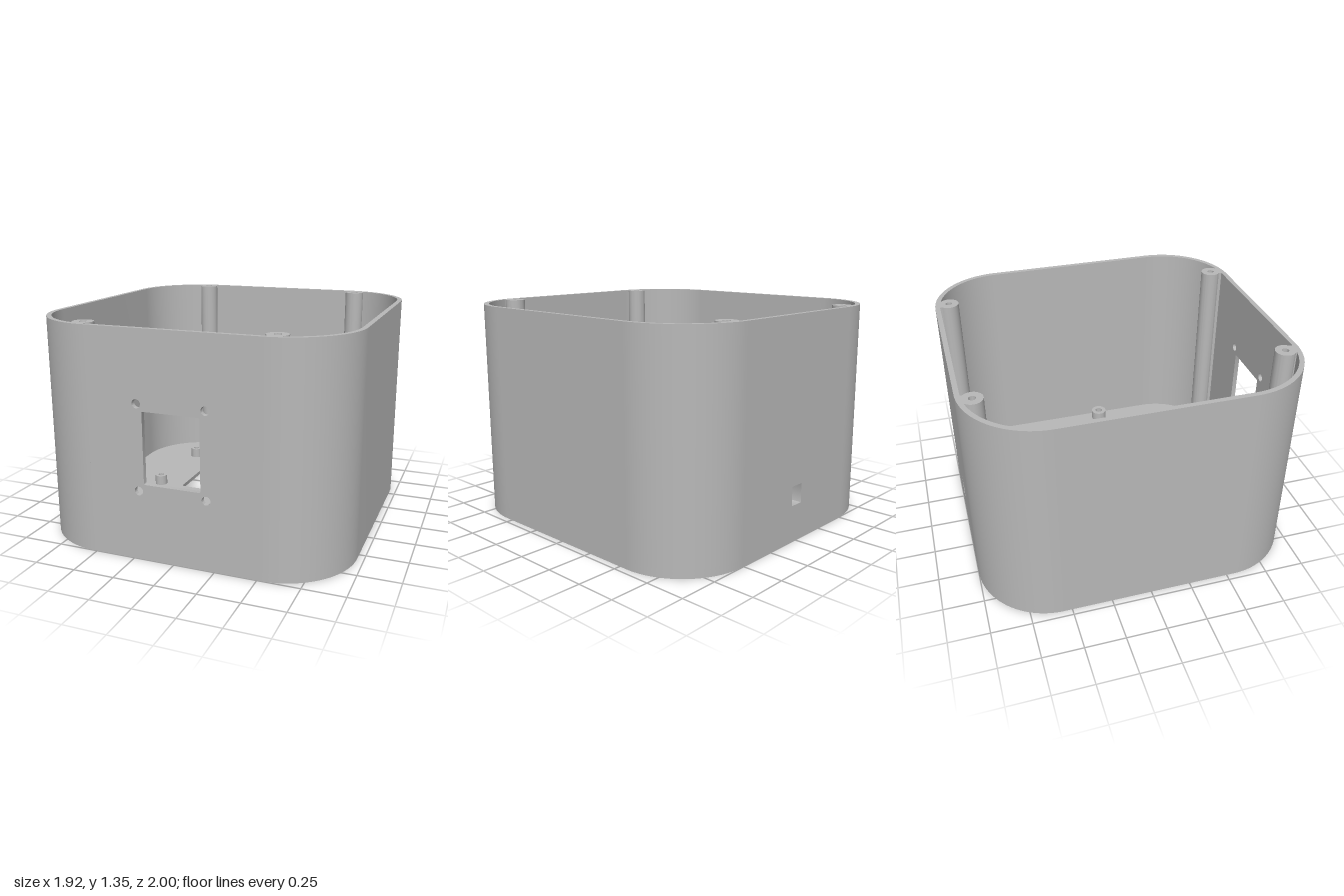
import * as THREE from 'three';
import { toCreasedNormals } from 'three/addons/utils/BufferGeometryUtils.js';

const HX = 0.96, HZ = 1, H = 1.35, R = 0.45, T = 0.03; // shell half sizes, height, corner, wall
const FLOOR = 0.05, RECESS = 0.025;
const FX = HX - R, FZ = HZ - R;                        // where the straight walls end

// Rounded rectangle centred on (cx, cy)
function roundRect(path, cx, cy, a, b, r) {
  path.moveTo(cx + a, cy - b + r);
  path.lineTo(cx + a, cy + b - r);
  path.absarc(cx + a - r, cy + b - r, r, 0, Math.PI / 2, false);
  path.absarc(cx - a + r, cy + b - r, r, Math.PI / 2, Math.PI, false);
  path.absarc(cx - a + r, cy - b + r, r, Math.PI, Math.PI * 1.5, false);
  path.absarc(cx + a - r, cy - b + r, r, Math.PI * 1.5, Math.PI * 2, false);
  return path;
}

function circle(path, cx, cy, r) {
  path.absarc(cx, cy, r, 0, Math.PI * 2, false);
  return path;
}

// Teardrop opening: large round end tapering to a small one
function keyhole() {
  const p = new THREE.Path(), x = -0.83, z1 = 0.065, r1 = 0.09, z2 = 0.165, r2 = 0.04;
  const t = Math.asin((r1 - r2) / (z2 - z1));
  p.absarc(x, z2, r2, t, Math.PI - t, false);
  p.absarc(x, z1, r1, Math.PI - t, Math.PI * 2 + t, false);
  p.closePath();
  return p;
}

export function createModel() {
  const group = new THREE.Group();
  const plastic = new THREE.MeshStandardMaterial({ color: 0xb8b8b8 });
  plastic.name = 'grey plastic';

  function add(name, geometry) {
    const mesh = new THREE.Mesh(toCreasedNormals(geometry, 0.5), plastic);
    mesh.name = name;
    group.add(mesh);
    return mesh;
  }
  const extrude = (shape, depth) =>
    new THREE.ExtrudeGeometry(shape, { depth, bevelEnabled: false, curveSegments: 24 });

  // Plan shape (x, z) raised from y0 to y1
  function addPlan(name, shape, y0, y1) {
    const g = extrude(shape, y1 - y0);
    g.rotateX(Math.PI / 2);
    g.translate(0, y1, 0);
    return add(name, g);
  }

  // Hollow round post
  function addPost(name, x, z, r, hole, y1) {
    const s = circle(new THREE.Shape(), x, z, r);
    s.holes.push(circle(new THREE.Path(), x, z, hole));
    return addPlan(name, s, FLOOR, y1);
  }

  // Floor in two layers, the lower one carrying the recesses
  const shared = () => [keyhole(), circle(new THREE.Path(), 0.865, 0.165, 0.026)];
  const upper = roundRect(new THREE.Shape(), 0, 0, HX, HZ, R);
  upper.holes.push(
    ...shared(),
    roundRect(new THREE.Path(), 0, -0.312, 0.41, 0.312, 0.02),
    circle(new THREE.Path(), -0.465, 0.595, 0.12),
    circle(new THREE.Path(), -0.095, 0.595, 0.12)
  );
  addPlan('floor', upper, RECESS, FLOOR);
  const lower = roundRect(new THREE.Shape(), 0, 0, HX, HZ, R);
  lower.holes.push(
    ...shared(),
    roundRect(new THREE.Path(), 0, -0.312, 0.63, 0.475, 0.13),
    roundRect(new THREE.Path(), 0, 0.595, 0.62, 0.27, 0.09)
  );
  addPlan('recessedUnderside', lower, 0, RECESS);

  // Side walls with their rounded corners
  for (const side of [1, -1]) {
    const a0 = side > 0 ? 0 : Math.PI;
    const q = side * Math.PI / 2;
    const s = new THREE.Shape();
    s.moveTo(side * FX, -side * HZ);
    s.absarc(side * FX, -side * FZ, R, a0 - Math.PI / 2, a0, false);
    s.absarc(side * FX, side * FZ, R, a0, a0 + Math.PI / 2, false);
    s.lineTo(side * FX, side * (HZ - T));
    s.absarc(side * FX, side * FZ, R - T, q, q - Math.PI / 2, true);
    s.absarc(side * FX, -side * FZ, R - T, q - Math.PI / 2, q - Math.PI, true);
    s.closePath();
    addPlan(side > 0 ? 'leftWall' : 'rightWall', s, FLOOR, H);
  }

  // Front wall with socket opening and four screw holes
  const wallShape = () => roundRect(new THREE.Shape(), 0, (H + FLOOR) / 2, FX, (H - FLOOR) / 2, 0.0001);
  const front = wallShape();
  front.holes.push(roundRect(new THREE.Path(), 0, 0.677, 0.172, 0.213, 0.008));
  for (const x of [-0.205, 0.205])
    for (const y of [0.422, 0.932]) front.holes.push(circle(new THREE.Path(), x, y, 0.026));
  add('frontWall', extrude(front, T).translate(0, 0, HZ - T));

  // Back wall with cable slot and its inner sleeve
  const slot = () => roundRect(new THREE.Path(), 0, 0.285, 0.047, 0.06, 0.001);
  const back = wallShape();
  back.holes.push(slot());
  add('backWall', extrude(back, T).translate(0, 0, -HZ));
  const sleeve = roundRect(new THREE.Shape(), 0, 0.285, 0.083, 0.096, 0.001);
  sleeve.holes.push(slot());
  add('slotSleeve', extrude(sleeve, 0.14).translate(0, 0, -HZ + T));

  // Full-height lid posts with webs to the wall
  for (const x of [-0.57, 0.57])
    for (const z of [-0.91, 0.905]) {
      addPost('lidPost', x, z, 0.062, 0.021, H);
      const web = new THREE.BoxGeometry(0.085, H - FLOOR, 0.035);
      web.translate(x, (H + FLOOR) / 2, Math.sign(z) * 0.962);
      add('lidPostWeb', web);
    }

  // Short mounting posts on the floor
  for (const x of [-0.57, 0.57])
    for (const z of [-0.625, 0]) addPost('screenPost', x, z, 0.041, 0.02, 0.115);
  for (const z of [-0.062, 0.33]) addPost('keyholePost', -0.83, z, 0.041, 0.014, 0.115);
  addPost('smallHoleBoss', 0.865, 0.165, 0.055, 0.026, 0.115);

  return group;
}
